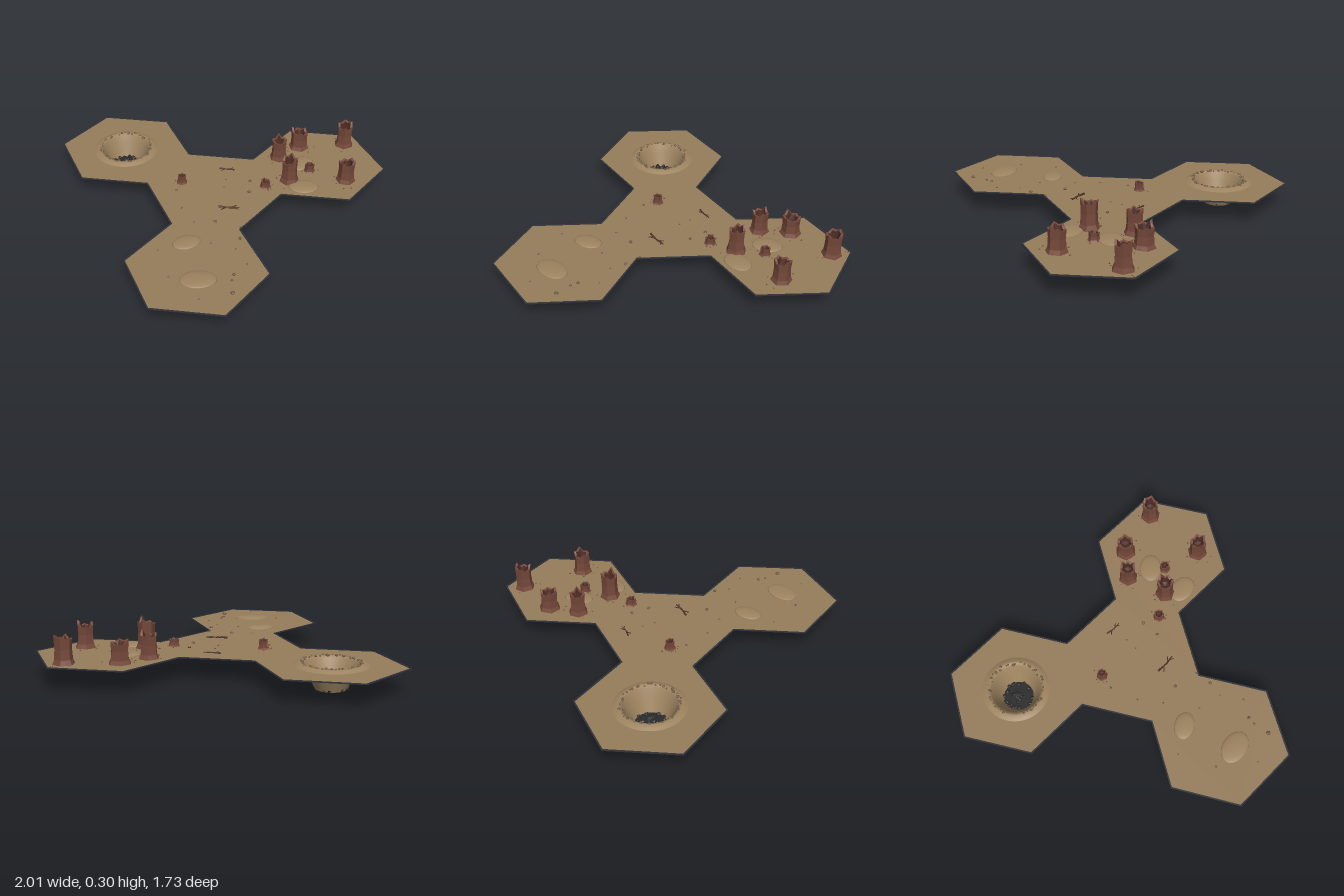
import * as THREE from 'three';
import { mergeGeometries } from 'three/addons/utils/BufferGeometryUtils.js';

const GROUND = 0.125;
const CRATER = [-0.6, -0.525];

const mat = (name, color, extra = {}) => {
  const m = new THREE.MeshStandardMaterial({ color, ...extra });
  m.name = name;
  return m;
};

// Small seeded random generator
function seeded(seed) {
  return () => {
    seed = (seed * 16807) % 2147483647;
    return seed / 2147483647;
  };
}

// Outline of four joined hexagons, as [x, z]
const OUTLINE = [
  [-1, -0.525], [-0.8, -0.865], [-0.4, -0.865], [-0.2, -0.52], [0.2, -0.52], [0.4, -0.865],
  [0.8, -0.865], [1, -0.525], [0.8, -0.185], [0.4, -0.185], [0.195, 0.17], [0.395, 0.515],
  [0.2, 0.86], [-0.2, 0.86], [-0.395, 0.515], [-0.195, 0.17], [-0.4, -0.185], [-0.8, -0.185],
];

function rock(x, y, z, size, rnd, squash = 0.7) {
  const g = new THREE.IcosahedronGeometry(size, 0);
  g.scale(1, squash, 0.75 + rnd() * 0.4);
  g.rotateY(rnd() * 6.28);
  g.rotateX((rnd() - 0.5) * 0.5);
  return g.translate(x, y, z);
}

// Hollow six-sided column: rings run up the flared outside, over a jagged lip and down inside
function spireGeometries(r, h, rnd) {
  const jag = Array.from({ length: 6 }, () => 1 - rnd() * 0.2);
  jag[Math.floor(rnd() * 6)] = 1;
  const turn = rnd();
  const ring = (radius, y, notch) => Array.from({ length: 12 }, (_, i) => {
    const a = turn + i * Math.PI / 6;
    const k = i % 2 ? 0.88 : 1;
    const top = i % 2 ? Math.min(jag[(i - 1) / 2], jag[((i + 1) / 2) % 6]) - 0.04 : jag[i / 2];
    return new THREE.Vector3(Math.cos(a) * radius * k, notch ? y * top : y, Math.sin(a) * radius * k);
  });
  const skin = (rings) => {
    const p = [];
    for (let j = 0; j < rings.length - 1; j++) {
      for (let i = 0; i < 12; i++) {
        const n = (i + 1) % 12;
        const a = rings[j][i], b = rings[j][n], c = rings[j + 1][i], d = rings[j + 1][n];
        for (const v of [a, c, b, b, c, d]) p.push(v.x, v.y, v.z);
      }
    }
    const g = new THREE.BufferGeometry();
    g.setAttribute('position', new THREE.Float32BufferAttribute(p, 3));
    g.computeVertexNormals();
    return g;
  };
  const lip = ring(r * 0.58, h * 0.97, true);
  return {
    shell: skin([ring(r, 0), ring(r * 0.82, h * 0.16), ring(r * 0.76, h * 0.5), ring(r * 0.82, h, true), lip]),
    hollow: skin([lip, ring(r * 0.42, h * 0.6), ring(0.0005, h * 0.55)]),
  };
}

export function createModel() {
  const sand = mat('sand', 0x967d5b, { side: THREE.DoubleSide });
  const dune = mat('pale sand', 0x9d835f, { side: THREE.DoubleSide });
  const edge = mat('dark edge', 0x30333a, { side: THREE.DoubleSide });
  const stone = mat('red stone', 0x75483a, { side: THREE.DoubleSide, flatShading: true });
  const hollowStone = mat('dark red stone', 0x4a2b24, { side: THREE.DoubleSide, flatShading: true });
  const pebble = mat('pebble brown', 0x6e5a44, { flatShading: true });
  const char = mat('charred rock', 0x2b2b2c, { flatShading: true });
  const wood = mat('dead wood', 0x4d3226, { flatShading: true });

  const model = new THREE.Group();
  const add = (name, geometry, material, parent = model) => {
    const m = new THREE.Mesh(geometry, material);
    m.name = name;
    parent.add(m);
    return m;
  };

  // Ground sheet with a round opening for the crater
  const outline = OUTLINE.map(([x, z]) => new THREE.Vector2(x, -z));
  const groundShape = new THREE.Shape(outline);
  groundShape.holes.push(new THREE.Path().absarc(CRATER[0], -CRATER[1], 0.185, 0, Math.PI * 2, true));
  add('ground', new THREE.ShapeGeometry(groundShape, 32).rotateX(-Math.PI / 2).translate(0, GROUND, 0), sand);

  // Dark strip along the outline
  const strips = OUTLINE.map(([x, z], i) => {
    const [x2, z2] = OUTLINE[(i + 1) % OUTLINE.length];
    const dx = x2 - x, dz = z2 - z;
    return new THREE.BoxGeometry(Math.hypot(dx, dz) + 0.004, 0.006, 0.008)
      .rotateY(-Math.atan2(dz, dx)).translate((x + x2) / 2, GROUND, (z + z2) / 2);
  });
  add('groundEdge', mergeGeometries(strips), edge);

  // Crater: raised rim and bowl, dark floor, rubble
  const crater = new THREE.Group();
  crater.name = 'crater';
  crater.position.set(CRATER[0], 0, CRATER[1]);
  model.add(crater);
  const profile = [[0.085, 0.002], [0.1, 0.035], [0.125, 0.09], [0.142, 0.128], [0.152, 0.14], [0.165, 0.141],
    [0.182, 0.133], [0.195, 0.126]].map(([r, y]) => new THREE.Vector2(r, y));
  add('craterBowl', new THREE.LatheGeometry(profile, 48), dune, crater);
  add('craterFloor', new THREE.CylinderGeometry(0.086, 0.084, 0.006, 32).translate(0, 0.004, 0), char, crater);
  const rnd = seeded(4711);
  const rimRocks = [], floorRocks = [];
  for (let i = 0; i < 44; i++) {
    const a = i / 44 * Math.PI * 2 + rnd() * 0.1, r = 0.142 + rnd() * 0.02;
    rimRocks.push(rock(Math.cos(a) * r, 0.141, Math.sin(a) * r, 0.005 + rnd() * 0.006, rnd));
  }
  for (let i = 0; i < 46; i++) {
    const a = rnd() * 6.28, r = i < 24 ? 0.07 + rnd() * 0.015 : rnd() * 0.045;
    const y = i < 24 ? 0.012 : 0.012 + (0.045 - r) * 0.9;
    floorRocks.push(rock(Math.cos(a) * r, y, Math.sin(a) * r, 0.008 + rnd() * 0.008, rnd, 0.9));
  }
  add('rimRubble', mergeGeometries(rimRocks), pebble, crater);
  add('floorRubble', mergeGeometries(floorRocks), char, crater);

  // Hollow stone spires: x, z, radius, height
  const spires = [
    [0.47, -0.7, 0.064, 0.135], [0.75, -0.765, 0.06, 0.155], [0.355, -0.565, 0.058, 0.15],
    [0.435, -0.335, 0.06, 0.175], [0.77, -0.385, 0.06, 0.15], [0.55, -0.45, 0.036, 0.05],
    [0.3, -0.255, 0.036, 0.045], [-0.197, -0.23, 0.034, 0.055],
  ];
  const chips = [];
  for (const [x, z, r, h] of spires) {
    const spire = new THREE.Group();
    spire.name = 'spire';
    spire.position.set(x, GROUND, z);
    const { shell, hollow } = spireGeometries(r, h, rnd);
    add('spireShell', shell, stone, spire);
    add('spireHollow', hollow, hollowStone, spire);
    model.add(spire);
    for (let i = 0; i < 5; i++) {
      const a = rnd() * 6.28, d = r * (1.1 + rnd() * 0.5);
      chips.push(rock(x + Math.cos(a) * d, GROUND + 0.002, z + Math.sin(a) * d, 0.003 + rnd() * 0.003, rnd));
    }
  }
  add('spireChips', mergeGeometries(chips), stone);

  // Low sand mounds: x, z, half length, half width, turn
  for (const [x, z, a, b, turn] of [
    [-0.085, 0.32, 0.082, 0.058, 0.55], [0.022, 0.61, 0.101, 0.07, 0.22],
    [0.493, -0.512, 0.087, 0.065, 0.75], [0.525, -0.28, 0.088, 0.065, 0.15],
  ]) {
    const mound = add('mound', new THREE.SphereGeometry(1, 32, 12), dune);
    mound.scale.set(a, 0.014, b);
    mound.rotation.y = turn;
    mound.position.set(x, GROUND, z);
  }

  // Scattered pebbles: x, z, radius
  const pebbles = [
    [0.205, 0.25, 0.012], [0.205, 0.55, 0.011], [0.2, 0.595, 0.008], [0.215, 0.69, 0.013], [-0.015, 0.612, 0.012],
    [-0.135, 0.612, 0.007], [0.05, 0.12, 0.011], [0.05, 0.31, 0.006], [0.05, 0.76, 0.006], [0.19, 0.34, 0.005],
    [0.265, 0.455, 0.006], [-0.23, 0.41, 0.006], [-0.16, 0.02, 0.007], [-0.07, 0.14, 0.006], [0.205, -0.29, 0.011],
    [0.21, -0.18, 0.011], [0.06, -0.285, 0.006], [0.06, -0.21, 0.006], [-0.215, -0.14, 0.008], [0.195, 0.15, 0.006],
  ].map(([x, z, r]) => rock(x, GROUND + r * 0.35, z, r, rnd));
  add('pebbles', mergeGeometries(pebbles), pebble);

  // Fallen branches with side twigs
  const stick = (x1, z1, x2, z2, r) => {
    const dx = x2 - x1, dz = z2 - z1;
    return new THREE.CylinderGeometry(r * 0.6, r, Math.hypot(dx, dz), 6).rotateZ(-Math.PI / 2)
      .rotateY(-Math.atan2(dz, dx)).translate((x1 + x2) / 2, 0.005, (z1 + z2) / 2);
  };
  for (const [x, z, s, turn] of [[0.055, -0.39, 0.85, 0], [0.11, -0.015, 1.1, 0.08]]) {
    const branch = add('branch', mergeGeometries([
      stick(-0.055, -0.006, 0.005, 0.002, 0.006), stick(0, 0.002, 0.055, -0.002, 0.005),
      stick(-0.015, 0, -0.04, 0.02, 0.004), stick(0.015, 0, 0.038, -0.02, 0.004), stick(0.03, 0, 0.05, 0.012, 0.003),
    ]), wood);
    branch.position.set(x, GROUND, z);
    branch.rotation.y = turn;
    branch.scale.setScalar(s);
  }
  return model;
}
